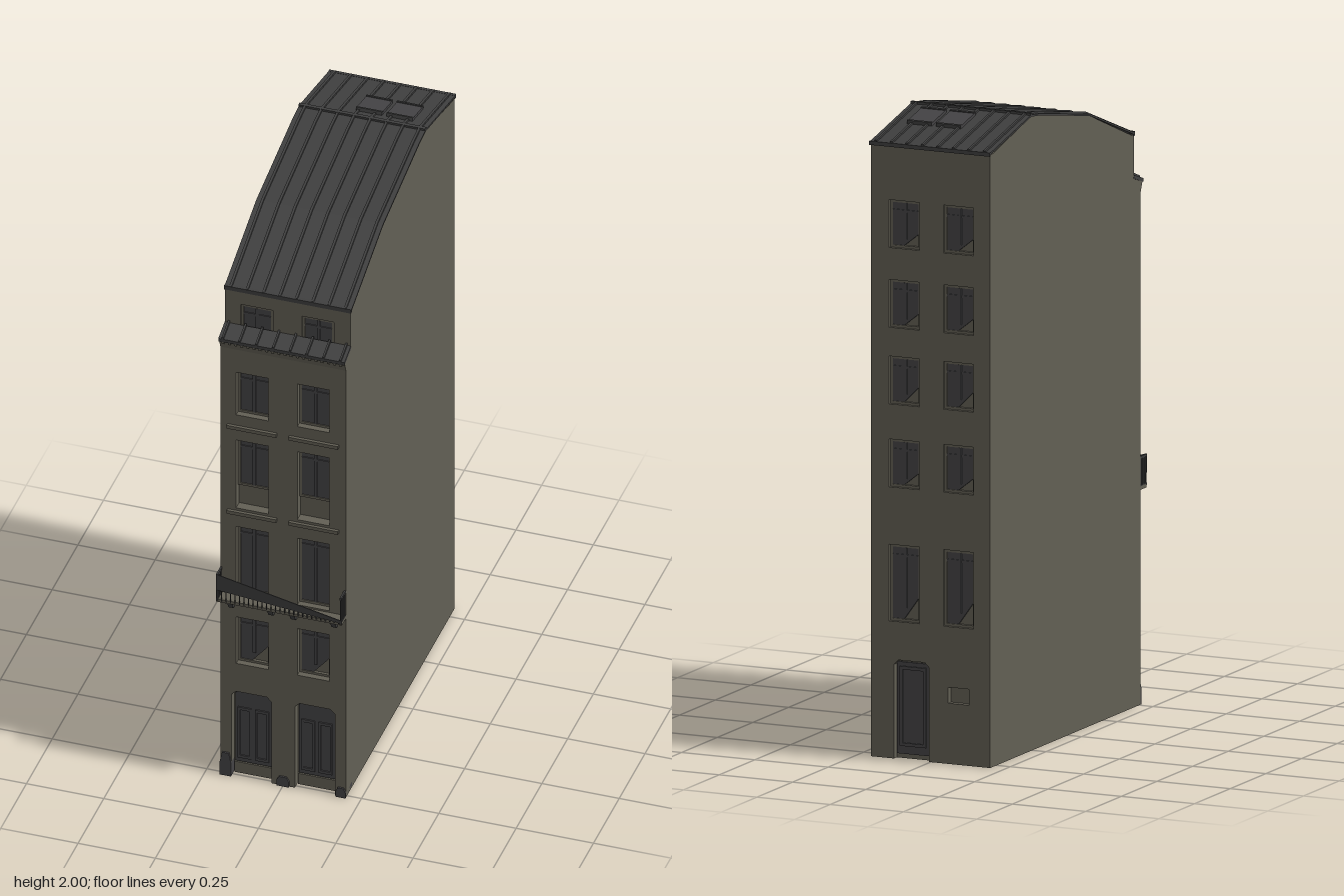
import * as THREE from 'three';

const mat = (name, color, side = THREE.FrontSide) => {
  const m = new THREE.MeshStandardMaterial({ color, side });
  m.name = name;
  return m;
};

export function createModel() {
  const model = new THREE.Group();
  model.name = 'townhouse';
  const wall = mat('wall plaster', 0x625f54);
  const glass = mat('window grey', 0x444345);
  const metal = mat('roof metal', 0x3f3f3f);
  const iron = mat('balcony iron', 0x3c3c3c, THREE.DoubleSide);

  const add = (parent, name, geo, material) => {
    const m = new THREE.Mesh(geo, material);
    m.name = name;
    parent.add(m);
    return m;
  };
  const box = (parent, name, x0, x1, y0, y1, z0, z1, material) => {
    const m = add(parent, name, new THREE.BoxGeometry(x1 - x0, y1 - y0, z1 - z0), material);
    m.position.set((x0 + x1) / 2, (y0 + y1) / 2, (z0 + z1) / 2);
    return m;
  };
  const poly = (pts) => new THREE.Shape(pts.map(([x, y]) => new THREE.Vector2(x, y)));
  const rect = (x0, x1, y0, y1) => [[x0, y0], [x1, y0], [x1, y1], [x0, y1]];
  // Side profile of [z, y] points swept across x
  const sweepX = (parent, name, pts, x0, x1, material) => {
    const g = new THREE.ExtrudeGeometry(poly(pts.map(([z, y]) => [-z, y])), { depth: x1 - x0, bevelEnabled: false });
    g.rotateY(Math.PI / 2).translate(x0, 0, 0);
    return add(parent, name, g, material);
  };
  // Upright plate in x, y with holes, from z0 to z1
  const plate = (parent, name, pts, holes, z0, z1, material) => {
    const s = poly(pts);
    s.holes = holes.map(poly);
    const g = new THREE.ExtrudeGeometry(s, { depth: z1 - z0, bevelEnabled: false });
    g.translate(0, 0, z0);
    return add(parent, name, g, material);
  };
  // Pane with an optional slanting lower edge, surrounded by a slim frame
  const pane = (parent, [x0, x1, y0, y1], z, cut = 0) => {
    const a = x0 + 0.008, b = x1 - 0.008, c = y0 + 0.008, d = y1 - 0.008;
    plate(parent, 'windowPane', [[a, c], [b - (cut ? 0.05 : 0), c], [b, c + cut], [b, d], [a, d]], [], z, z + 0.006, glass);
    plate(parent, 'windowFrame', rect(x0, x1, y0, y1), [rect(a, b, c, d)], z, z + 0.009, wall);
    const m = (x0 + x1) / 2;
    box(parent, 'windowMullion', m - 0.005, m + 0.005, c + cut / 2, d, z, z + 0.01, glass);
    box(parent, 'windowTransom', a, b, d - 0.03, d - 0.022, z, z + 0.009, glass);
  };

  // Core of the house
  const roofLine = [[0.465, 1.795], [0.155, 1.912], [-0.195, 1.98], [-0.26, 1.988], [-0.55, 1.922]];
  sweepX(model, 'houseBody', [
    [-0.525, 0], [0.48, 0], [0.48, 1.62], [0.45, 1.63], [0.45, 1.795],
    ...roofLine.slice(1, 4), [-0.525, 1.922],
  ], -0.203, 0.203, wall);

  // Front wall with doorways and windows
  const front = new THREE.Group();
  front.name = 'frontFacade';
  model.add(front);
  const rows = [[0.425, 0.6, 0.06], [0.69, 0.94, 0], [1.01, 1.265, 0], [1.36, 1.52, 0]];
  const columns = [-0.1, 0.098];
  const holes = [];
  for (const x of columns) {
    for (const [y0, y1, cut] of rows) {
      const r = [x - 0.052, x + 0.052, y0, y1];
      holes.push(rect(...r));
      const low = y0 === 1.01 ? 1.085 : y0;
      pane(front, [r[0], r[1], low, y1], 0.481, cut);
    }
  }
  const doorway = (x0, x1, h) => [[x0, 0], [x0, h - 0.015], [x0 + 0.015, h], [x1 - 0.015, h], [x1, h - 0.015], [x1, 0]];
  plate(front, 'frontWall', [
    [-0.203, 0], ...doorway(-0.167, -0.038, 0.32), ...doorway(0.038, 0.167, 0.32),
    [0.203, 0], [0.203, 1.62], [-0.203, 1.62],
  ], holes, 0.48, 0.51, wall);
  for (const s of [-1, 1]) {
    const x = s * 0.1025;
    plate(front, 'frontDoor', doorway(x - 0.058, x + 0.058, 0.315).map(([a, b]) => [a, Math.max(b, 0.045)]), [], 0.481, 0.489, glass);
    for (const t of [-0.028, 0.028]) {
      plate(front, 'doorPanel', rect(x + t - 0.022, x + t + 0.022, 0.06, 0.25),
        [rect(x + t - 0.015, x + t + 0.015, 0.07, 0.24)], 0.489, 0.493, glass);
    }
    box(front, 'doorStep', x - 0.062, x + 0.062, 0, 0.04, 0.48, 0.488, wall);
    for (const y of [0.995, 1.315]) {
      box(front, 'stringCourse', s * 0.1 - 0.08, s * 0.1 + 0.08, y - 0.006, y + 0.006, 0.505, 0.52, wall);
    }
  }

  // Attic wall set back above the cornice
  const attic = columns.map((x) => [x - 0.052, x + 0.052, 1.65, 1.745]);
  plate(front, 'atticWall', rect(-0.203, 0.203, 1.62, 1.797), attic.map((r) => rect(...r)), 0.45, 0.465, wall);
  attic.forEach((r) => pane(front, r, 0.451));

  // Cornice with small metal roof, seams and dentils
  sweepX(model, 'cornice', [[0.45, 1.605], [0.51, 1.605], [0.523, 1.638], [0.45, 1.66]], -0.203, 0.203, wall);
  sweepX(model, 'corniceRoof', [[0.527, 1.636], [0.527, 1.647], [0.465, 1.668], [0.46, 1.658]], -0.204, 0.204, metal);
  for (let i = 0; i < 8; i++) {
    const x = -0.19 + i * 0.0543;
    sweepX(model, 'corniceSeam', [[0.528, 1.646], [0.528, 1.654], [0.466, 1.677], [0.466, 1.666]], x - 0.003, x + 0.003, metal);
  }
  for (let i = 0; i < 20; i++) {
    const x = -0.19 + i * 0.02;
    box(model, 'dentil', x - 0.004, x + 0.004, 1.628, 1.637, 0.51, 0.525, wall);
  }

  // Corner and centre kerb stones
  for (const [x, w, h] of [[-0.185, 0.036, 0.085], [0, 0.04, 0.035], [0.187, 0.032, 0.035]]) {
    const r = w / 2;
    plate(model, 'kerbStone', [[x - r, 0], [x + r, 0], [x + r, h * 0.6], [x + r * 0.6, h], [x - r * 0.6, h], [x - r, h * 0.6]],
      [], x ? 0.45 : 0.5, 0.516, glass);
  }

  // Balcony with brackets, sloping front panel and barred ends
  const balcony = new THREE.Group();
  balcony.name = 'balcony';
  model.add(balcony);
  box(balcony, 'balconyFloor', -0.203, 0.203, 0.673, 0.684, 0.51, 0.55, wall);
  for (const x of [-0.165, -0.036, 0.036, 0.168]) {
    sweepX(balcony, 'balconyBracket', [[0.505, 0.635], [0.522, 0.64], [0.54, 0.674], [0.505, 0.674]], x - 0.008, x + 0.008, iron);
  }
  plate(balcony, 'slopingPanel', [[-0.203, 0.72], [0.203, 0.683], [0.203, 0.692], [-0.203, 0.778]], [], 0.551, 0.554, iron);
  for (let i = 0; i < 28; i++) {
    const x = -0.2 + i * 0.0146;
    box(balcony, 'baluster', x - 0.0015, x + 0.0015, 0.68, 0.722 - i * 0.0012, 0.551, 0.554, iron);
  }
  for (const s of [-1, 1]) {
    const x = s * 0.2;
    for (const y of [0.684, 0.774]) box(balcony, 'endRail', x - 0.003, x + 0.003, y - 0.004, y + 0.004, 0.51, 0.554, iron);
    for (let i = 0; i < 5; i++) {
      const z = 0.515 + i * 0.009;
      box(balcony, 'endBar', x - 0.002, x + 0.002, 0.684, 0.774, z - 0.0025, z + 0.0025, iron);
    }
  }

  // Back wall, built facing forward and turned round
  const back = new THREE.Group();
  back.name = 'backFacade';
  back.rotation.y = Math.PI;
  model.add(back);
  const backRows = [[0.43, 0.67, 0.07], [0.85, 1.0, 0.04], [1.11, 1.26, 0.05], [1.35, 1.5, 0.04], [1.6, 1.75, 0.04]];
  const backHoles = [rect(0.06, 0.13, 0.19, 0.24)];
  for (const x of [-0.09, 0.095]) {
    for (const [y0, y1, cut] of backRows) {
      const r = [x - 0.052, x + 0.052, y0, y1];
      backHoles.push(rect(...r));
      pane(back, r, 0.526, cut);
    }
  }
  plate(back, 'backWall', [[-0.203, 0], ...doorway(-0.125, -0.005, 0.31), [0.203, 0], [0.203, 1.922], [-0.203, 1.922]],
    backHoles, 0.525, 0.545, wall);
  plate(back, 'backDoor', rect(-0.12, -0.01, 0.015, 0.303), [], 0.526, 0.533, glass);
  plate(back, 'backDoorFrame', rect(-0.11, -0.02, 0.04, 0.29), [rect(-0.1, -0.03, 0.05, 0.28)], 0.533, 0.538, glass);

  // Metal roof: sheet, standing seams, ridge and eave strips
  const band = (lo, hi) => [
    ...roofLine.map(([z, y]) => [z, y + lo]),
    ...roofLine.map(([z, y]) => [z, y + hi]).reverse(),
  ];
  sweepX(model, 'roofSheet', band(0, 0.006), -0.205, 0.205, metal);
  for (let i = 0; i < 8; i++) {
    const x = -0.185 + i * 0.0529;
    sweepX(model, 'roofSeam', band(0.005, 0.012), x - 0.004, x + 0.004, metal);
  }
  box(model, 'ridgeCap', -0.205, 0.205, 1.99, 2.0, -0.266, -0.254, metal);
  box(model, 'eaveStrip', -0.205, 0.205, 1.792, 1.806, 0.456, 0.468, metal);
  box(model, 'backEave', -0.205, 0.205, 1.918, 1.93, -0.555, -0.545, metal);

  // Skylights on the rear slope
  for (const x of [0.007, 0.106]) {
    const sky = new THREE.Group();
    sky.name = 'skylight';
    sky.position.set(x, 1.973, -0.353);
    sky.rotation.x = -0.225;
    model.add(sky);
    box(sky, 'skylightPane', -0.042, 0.042, -0.004, 0.009, -0.052, 0.052, glass);
    for (const z of [-0.05, 0.05]) box(sky, 'skylightBar', -0.042, 0.042, 0, 0.012, z - 0.004, z + 0.004, metal);
  }
  return model;
}
